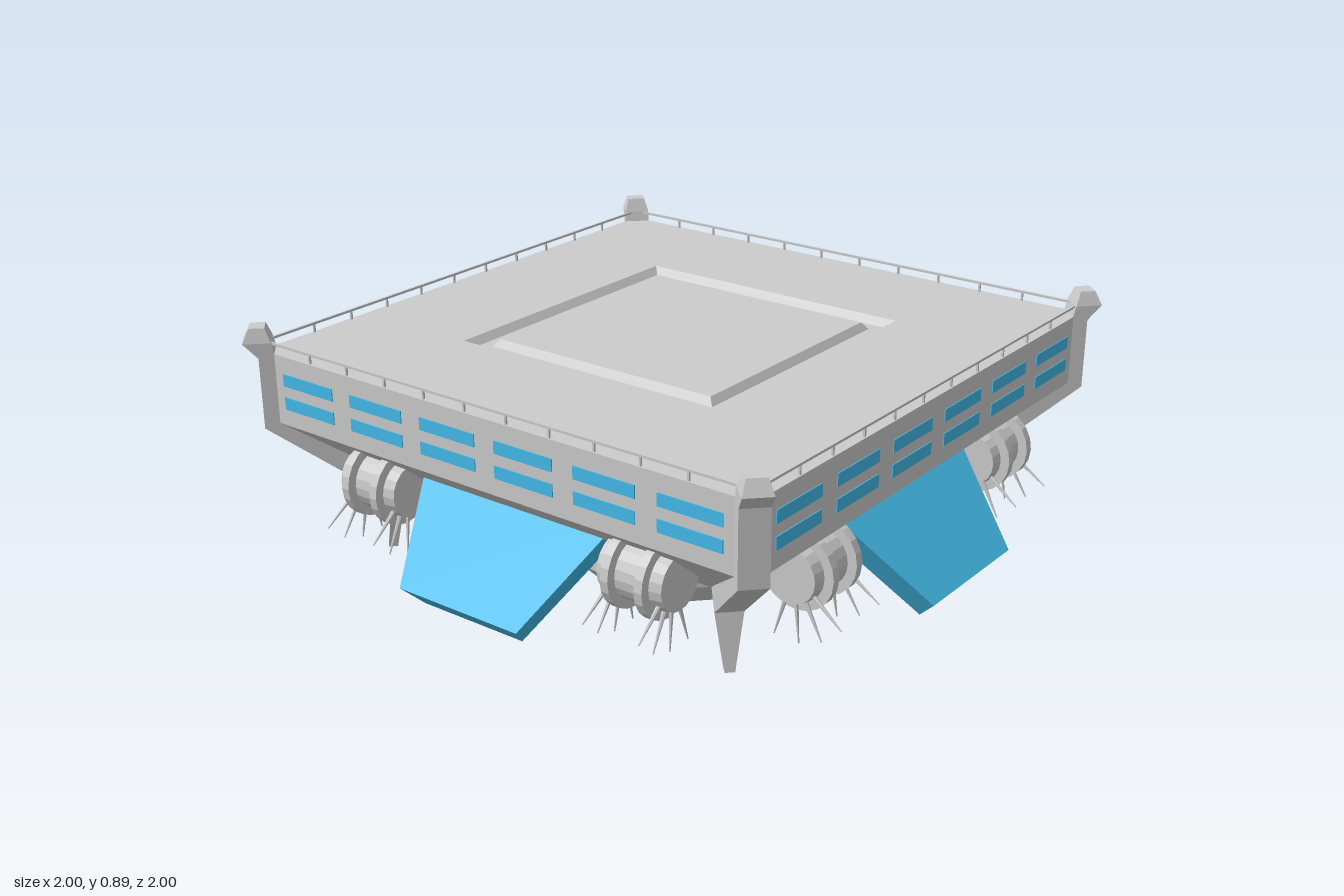
import * as THREE from 'three';

const grey = new THREE.MeshStandardMaterial({ color: 0xcccccc, flatShading: true });
const blue = new THREE.MeshStandardMaterial({ color: 0x44bcea, flatShading: true });

function add(parent, name, geometry, material = grey) {
  const mesh = new THREE.Mesh(geometry, material);
  mesh.name = name;
  parent.add(mesh);
  return mesh;
}

// Revolves [radius, height] points; four segments give a square with half-width = radius
function revolve(points, segments) {
  const square = segments === 4;
  const k = square ? Math.SQRT2 : 1;
  const profile = points.map(([r, y]) => new THREE.Vector2(r * k, y));
  return new THREE.LatheGeometry(profile, segments, square ? Math.PI / 4 : 0);
}

// Skins a row of four-cornered cross-sections and caps both ends
function loft(rings) {
  const index = [];
  const last = (rings.length - 1) * 4;
  for (let i = 0; i < last; i += 4) {
    for (let j = 0; j < 4; j++) {
      const a = i + j, b = i + (j + 1) % 4;
      index.push(a, b, b + 4, a, b + 4, a + 4);
    }
  }
  index.push(0, 2, 1, 0, 3, 2, last, last + 1, last + 2, last, last + 2, last + 3);
  const geometry = new THREE.BufferGeometry();
  geometry.setAttribute('position', new THREE.Float32BufferAttribute(rings.flat(2), 3));
  geometry.setIndex(index);
  geometry.computeVertexNormals();
  return geometry;
}

// Corner post, rib and pointed leg: outer r, outer y, inner r, inner y, width
function cornerPillar() {
  const sections = [
    [1.25, 0.887, 1.205, 0.887, 0.055],
    [1.27, 0.845, 1.19, 0.845, 0.08],
    [1.228, 0.8, 1.18, 0.8, 0.08],
    [1.228, 0.585, 1.15, 0.6, 0.08],
    [0.88, 0.34, 0.83, 0.39, 0.08],
    [0.9, 0.17, 0.872, 0.17, 0.028],
  ];
  return loft(sections.map(([ro, yo, ri, yi, t]) => [
    [t / 2, yo, ro], [-t / 2, yo, ro], [-t / 2, yi, ri], [t / 2, yi, ri],
  ]));
}

// Sloping panel with tapered sides
function panel() {
  return loft([
    [[0.353, 0.58, 0.72], [-0.353, 0.58, 0.72], [-0.33, 0.53, 0.65], [0.33, 0.53, 0.65]],
    [[0.212, 0.305, 1], [-0.212, 0.305, 1], [-0.178, 0.245, 0.94], [0.178, 0.245, 0.94]],
  ]);
}

// Flanged drum with fans of needles at both ends
function drum() {
  const group = new THREE.Group();
  group.name = 'drum';
  const half = [[0, 0.105], [0.08, 0.105], [0.085, 0.068], [0.113, 0.068], [0.113, 0.042], [0.085, 0.042]];
  const profile = [
    ...half.map(([r, y]) => [r, -y]),
    ...half.slice().reverse(),
  ];
  add(group, 'drumBody', revolve(profile, 20)).rotation.z = Math.PI / 2;
  for (const side of [-1, 1]) {
    for (const degrees of [-15, 8, 30, 53]) {
      const angle = THREE.MathUtils.degToRad(degrees);
      const direction = new THREE.Vector3(side * 0.06, -Math.cos(angle), Math.sin(angle)).normalize();
      const needle = add(group, 'needle', new THREE.CylinderGeometry(0.002, 0.008, 0.14, 6));
      needle.quaternion.setFromUnitVectors(new THREE.Vector3(0, 1, 0), direction);
      needle.position.copy(direction).multiplyScalar(0.125);
      needle.position.x += side * 0.08;
    }
  }
  return group;
}

// Everything on one wall, facing +z
function wall() {
  const group = new THREE.Group();
  group.name = 'wall';
  for (let i = 0; i < 6; i++) {
    for (const y of [0.741, 0.67]) {
      add(group, 'window', new THREE.BoxGeometry(0.2, 0.037, 0.02), blue)
        .position.set((i - 2.5) * 0.27, y, 0.858);
    }
  }
  add(group, 'railing', new THREE.BoxGeometry(1.66, 0.007, 0.007)).position.set(0, 0.84, 0.858);
  for (let i = 0; i < 10; i++) {
    add(group, 'railPost', new THREE.BoxGeometry(0.006, 0.035, 0.006))
      .position.set((i - 4.5) * 0.148, 0.823, 0.858);
  }
  add(group, 'panel', panel(), blue);
  for (const side of [-1, 1]) {
    const d = drum();
    d.position.set(side * 0.472, 0.475, 0.775);
    group.add(d);
  }
  add(group, 'cornerPillar', cornerPillar()).rotation.y = Math.PI / 4;
  return group;
}

export function createModel() {
  const model = new THREE.Group();
  model.name = 'platform';

  // Square hull with sloping underside and a grooved frame in the deck
  add(model, 'hull', revolve([
    [0, 0.38], [0.6, 0.38], [0.865, 0.6], [0.865, 0.812], [0.455, 0.812],
    [0.435, 0.79], [0.397, 0.79], [0.38, 0.812], [0, 0.812],
  ], 4));

  // Round turret with a recessed base and central hub
  add(model, 'turret', revolve([
    [0, 0], [0.13, 0], [0.13, 0.09], [0.21, 0.09], [0.22, 0.06], [0.285, 0.06],
    [0.375, 0.15], [0.375, 0.185], [0.36, 0.245], [0.32, 0.25], [0.32, 0.32],
    [0.37, 0.36], [0.37, 0.39],
  ], 20));

  for (let i = 0; i < 4; i++) {
    const w = wall();
    w.rotation.y = i * Math.PI / 2;
    model.add(w);
  }
  return model;
}
